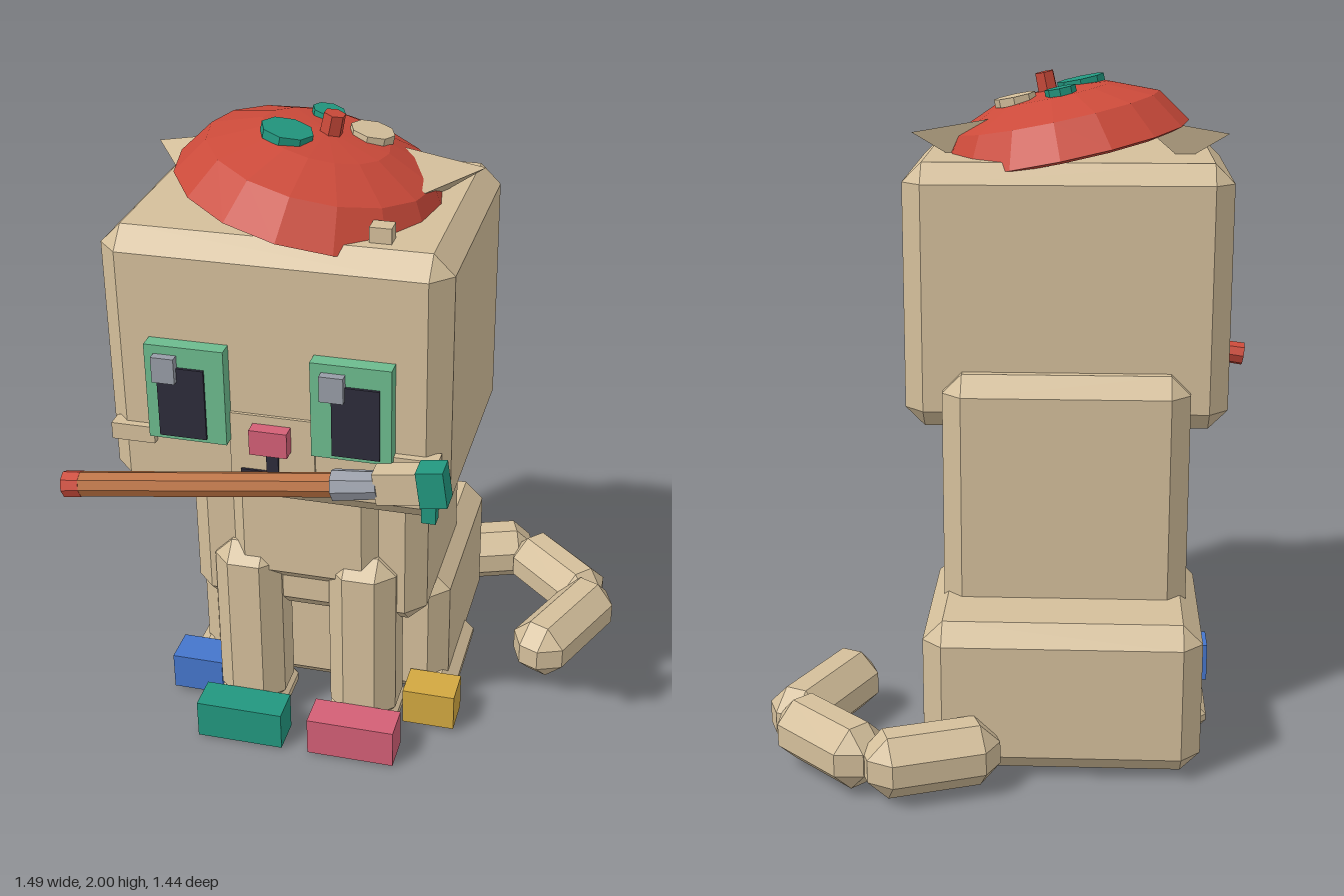
import * as THREE from 'three';
import { ConvexGeometry } from 'three/addons/geometries/ConvexGeometry.js';

const paint = (name, color) => {
  const m = new THREE.MeshStandardMaterial({ color });
  m.name = name;
  return m;
};
const tan = paint('tan fur', 0xd4bf9b), red = paint('red', 0xcb4a3a), green = paint('eye green', 0x6cbb8e),
  teal = paint('teal', 0x22977f), pink = paint('pink', 0xd35f76), yellow = paint('yellow', 0xd2a840),
  blue = paint('blue', 0x4576cc), dark = paint('dark', 0x2d2b3a), grey = paint('grey', 0x979ca6),
  brown = paint('brown wood', 0xb87040);

const CX = -0.15; // symmetry plane of the body

function add(parent, name, geo, mat, x = 0, y = 0, z = 0) {
  const mesh = new THREE.Mesh(geo, mat);
  mesh.name = name;
  mesh.position.set(x, y, z);
  parent.add(mesh);
  return mesh;
}

// flat facets with hard edges
function faceted(geo) {
  const g = geo.toNonIndexed();
  g.computeVertexNormals();
  return g;
}

// box with every edge cut by a chamfer c
function chamferBox(w, h, d, c) {
  const half = [w / 2, h / 2, d / 2], pts = [];
  for (let axis = 0; axis < 3; axis++)
    for (const sx of [-1, 1]) for (const sy of [-1, 1]) for (const sz of [-1, 1]) {
      const p = half.map((v, i) => (i === axis ? v : v - c));
      pts.push(new THREE.Vector3(p[0] * sx, p[1] * sy, p[2] * sz));
    }
  return new ConvexGeometry(pts);
}

// boxes given by their limits [x0, x1, y0, y1, z0, z1]
function block(parent, name, mat, [x0, x1, y0, y1, z0, z1], c = 0) {
  const w = x1 - x0, h = y1 - y0, d = z1 - z0;
  const geo = c ? chamferBox(w, h, d, c) : new THREE.BoxGeometry(w, h, d);
  return add(parent, name, geo, mat, (x0 + x1) / 2, (y0 + y1) / 2, (z0 + z1) / 2);
}

function buildBody(g) {
  block(g, 'head', tan, [-0.63, 0.335, 0.975, 1.767, -0.19, 0.588], 0.058);
  block(g, 'torso', tan, [-0.515, 0.217, 0.405, 1.157, -0.275, 0.303], 0.058);
  block(g, 'chest', tan, [-0.375, 0.08, 0.54, 1.06, 0.1, 0.345], 0.045);
  block(g, 'hindBody', tan, [-0.555, 0.26, 0.02, 0.48, -0.522, 0.15], 0.058);

  for (const s of [-1, 1]) {
    const span = (a, b) => [CX + s * a, CX + s * b].sort((p, q) => p - q);
    block(g, 'frontLeg', tan, [...span(0.075, 0.285), 0.05, 0.657, 0.16, 0.37], 0.055);
    block(g, 'frontPaw', tan, [...span(0.07, 0.29), 0.005, 0.12, 0.14, 0.4], 0.045);
    block(g, 'hindFoot', tan, [...span(0.28, 0.44), 0.005, 0.115, -0.24, 0.22], 0.045);
    block(g, 'frontToeCap', s > 0 ? pink : teal, [...span(0.042, 0.315), 0.01, 0.135, 0.37, 0.48]);
    block(g, 'hindToeCap', s > 0 ? yellow : blue, [...span(0.3, 0.465), 0.02, 0.142, 0.16, 0.277]);
  }
}

function buildTail(g) {
  const path = [[[0.04, -0.53], [0.41, -0.665]], [[0.39, -0.64], [0.672, -0.375]], [[0.68, -0.42], [0.503, -0.02]]];
  for (const [[x0, z0], [x1, z1]] of path) {
    const len = Math.hypot(x1 - x0, z1 - z0);
    const seg = add(g, 'tailSegment', chamferBox(len, 0.188, 0.188, 0.06), tan, (x0 + x1) / 2, 0.115, (z0 + z1) / 2);
    seg.rotation.y = -Math.atan2(z1 - z0, x1 - x0);
  }
}

function buildFace(g) {
  for (const x of [-0.378, 0.082]) {
    block(g, 'eye', green, [x - 0.111, x + 0.111, 1.187, 1.47, 0.57, 0.633]);
  }
  for (const [x0, x1, h0, h1] of [[-0.455, -0.322, -0.462, -0.398], [0.03, 0.162, 0.002, 0.068]]) {
    block(g, 'pupil', dark, [x0, x1, 1.2, 1.41, 0.632, 0.641]);
    block(g, 'eyeHighlight', grey, [h0, h1, 1.37, 1.445, 0.62, 0.658]);
  }
  block(g, 'muzzle', tan, [-0.27, -0.03, 1.06, 1.27, 0.58, 0.597]);
  block(g, 'nose', pink, [-0.203, -0.096, 1.17, 1.245, 0.58, 0.638]);
  block(g, 'mouthStem', dark, [-0.166, -0.132, 1.09, 1.17, 0.595, 0.604]);
  block(g, 'mouth', dark, [-0.24, -0.06, 1.075, 1.1, 0.595, 0.604]);
  block(g, 'cheekTuft', tan, [-0.61, -0.485, 1.15, 1.2, 0.56, 0.61]);
  block(g, 'cheekTuft', tan, [0.19, 0.315, 1.15, 1.2, 0.56, 0.61]);
  block(g, 'headTuft', tan, [0.1, 0.16, 1.74, 1.81, 0.45, 0.5]);

  // ears: three-cornered wedges resting on their points
  for (const s of [-1, 1]) {
    const pts = [[0.475, 1.83, 0.065], [0.185, 1.88, 0.065], [0.345, 1.82, 0.267], [0.34, 1.745, 0.095]]
      .map(([x, y, z]) => new THREE.Vector3(CX + s * x, y, z));
    add(g, 'ear', new ConvexGeometry(pts), tan);
  }
}

function buildBeret(g) {
  const hat = new THREE.Group();
  hat.name = 'beret';
  hat.position.set(-0.127, 1.777, 0.198);
  hat.rotation.z = -0.208;
  g.add(hat);
  const profile = [[0, 0.01], [0.36, -0.01], [0.392, 0], [0.32, 0.105], [0.18, 0.162], [0, 0.178]]
    .map(([r, y]) => new THREE.Vector2(r, y));
  add(hat, 'beretCrown', faceted(new THREE.LatheGeometry(profile, 16)), red);
  add(hat, 'beretStem', faceted(new THREE.CylinderGeometry(0.031, 0.033, 0.08, 6)), red, 0.012, 0.19, 0);
  for (const [x, z, r, mat] of [[-0.09, 0.082, 0.073, teal], [-0.03, -0.128, 0.047, teal], [0.11, -0.076, 0.063, tan]]) {
    add(hat, 'beretSpot', faceted(new THREE.CylinderGeometry(r, r, 0.025, 8)), mat, x, 0.172, z);
  }
}

function buildBrush(g) {
  const brush = new THREE.Group();
  brush.name = 'paintbrush';
  brush.position.set(-0.742, 1.012, 0.661);
  brush.rotation.z = 0.141;
  g.add(brush);
  // round parts along the handle: start, end, radii
  const parts = [['handleTip', red, 0, 0.052, 0.039, 0.038], ['handle', brown, 0.052, 0.8, 0.037, 0.035],
    ['ferrule', grey, 0.79, 0.915, 0.045, 0.04]];
  for (const [name, mat, a, b, r0, r1] of parts) {
    const geo = faceted(new THREE.CylinderGeometry(r0, r1, b - a, 8).rotateZ(Math.PI / 2));
    add(brush, name, geo, mat, (a + b) / 2, 0, 0);
  }
  block(brush, 'bristles', tan, [0.91, 1.045, -0.045, 0.05, -0.032, 0.032]);
  block(brush, 'paintTip', teal, [1.03, 1.105, -0.052, 0.055, -0.036, 0.036]);
  block(g, 'paintDrip', teal, [0.285, 0.325, 1.05, 1.13, 0.64, 0.68]);
}

export function createModel() {
  const model = new THREE.Group();
  model.name = 'painterCat';
  for (const build of [buildBody, buildTail, buildFace, buildBeret, buildBrush]) build(model);
  return model;
}
